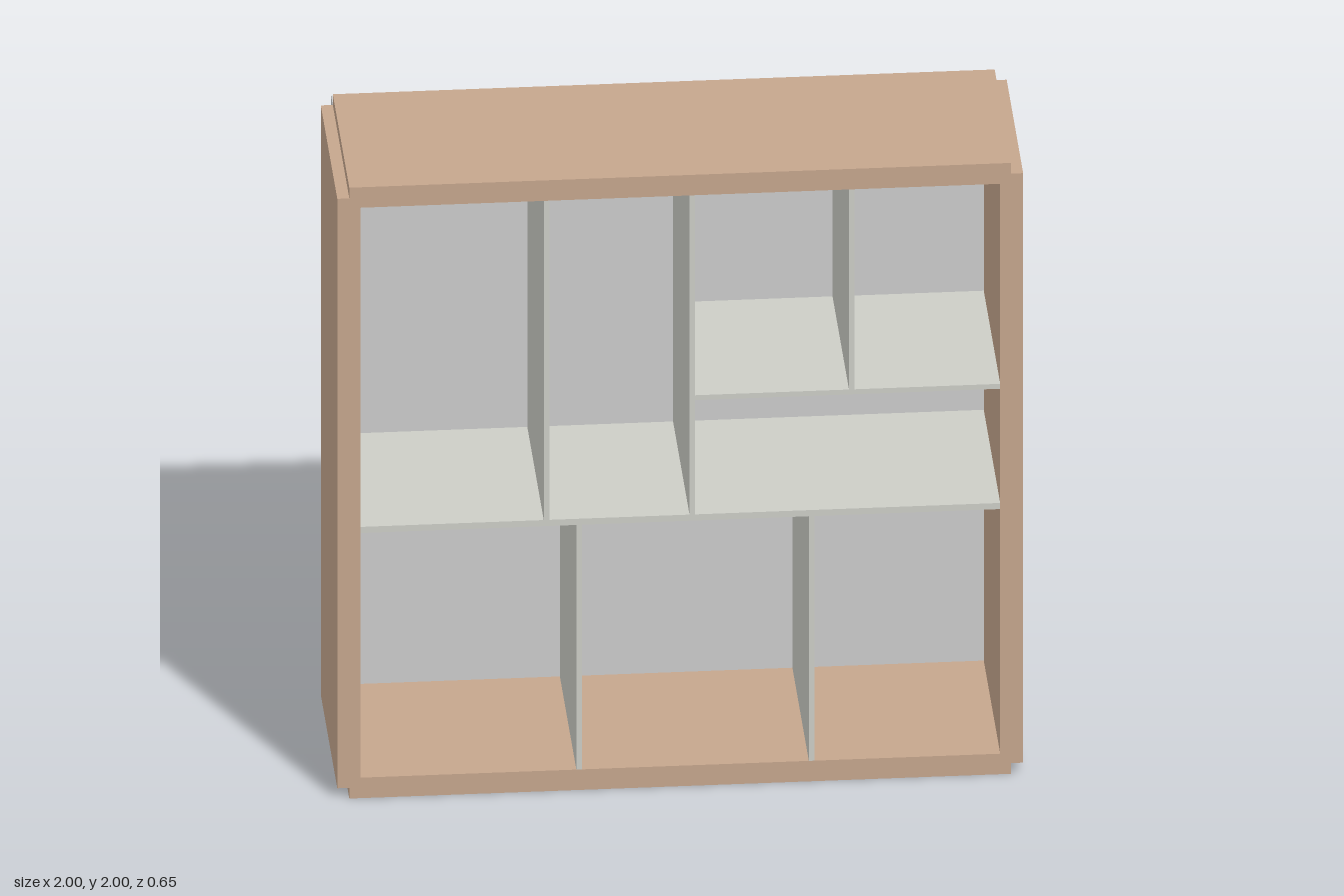
import * as THREE from 'three';

export function createModel() {
  const group = new THREE.Group();
  const wood = new THREE.MeshStandardMaterial({ color: 0xc5a68d });
  const grey = new THREE.MeshStandardMaterial({ color: 0xcccccc });
  const pale = new THREE.MeshStandardMaterial({ color: 0xcccdc6 });

  // Board spanning the given ranges on each axis
  const board = (name, material, [x0, x1], [y0, y1], [z0, z1]) => {
    const mesh = new THREE.Mesh(new THREE.BoxGeometry(x1 - x0, y1 - y0, z1 - z0), material);
    mesh.position.set((x0 + x1) / 2, (y0 + y1) / 2, (z0 + z1) / 2);
    mesh.name = name;
    group.add(mesh);
  };

  const inner = 0.933, edge = 0.965, t = 0.008;
  const depth = [-0.267, 0.325];

  // Outer frame with notched corners
  board('topBoard', wood, [-edge, edge], [1 + inner, 2], depth);
  board('bottomBoard', wood, [-edge, edge], [0, 1 - inner], depth);
  board('leftBoard', wood, [inner, 1], [0.035, 1.965], depth);
  board('rightBoard', wood, [-1, -inner], [0.035, 1.965], depth);

  // Back panel
  board('backPanel', grey, [-edge, edge], [0.035, 1.965], [-0.325, -0.265]);

  // Shelves
  const shelfY = 0.878, upperY = 1.27;
  board('mainShelf', pale, [-inner, inner], [shelfY - 0.01, shelfY + 0.01], depth);
  board('upperShelf', pale, [0.035, inner], [upperY - t, upperY + t], depth);

  // Upright dividers: x, bottom, top
  const dividers = [
    [-0.39, shelfY, 1 + inner],
    [0.035, shelfY, 1 + inner],
    [0.5, upperY, 1 + inner],
    [-0.295, 1 - inner, shelfY],
    [0.383, 1 - inner, shelfY],
  ];
  dividers.forEach(([x, y0, y1], i) => board(`divider${i + 1}`, pale, [x - t, x + t], [y0, y1], depth));

  return group;
}
